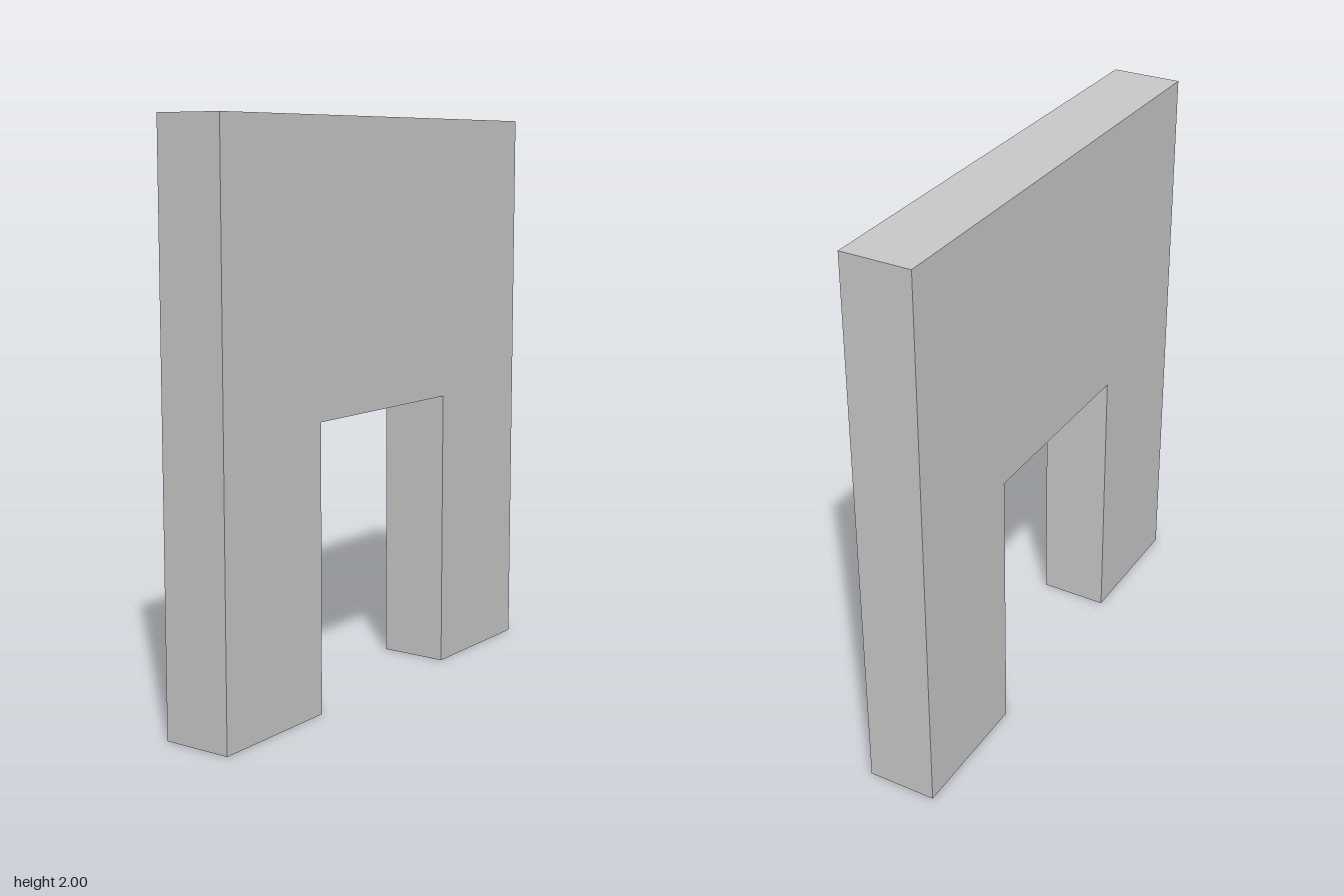
import * as THREE from 'three';

const WIDTH = 1.75, HEIGHT = 2, DEPTH = 0.25;
const DOOR_WIDTH = 0.75, DOOR_HEIGHT = 1;

export function createModel() {
  const group = new THREE.Group();
  group.name = 'doorwayWall';

  // Wall outline with the doorway cut up from the floor
  const w = WIDTH / 2, d = DOOR_WIDTH / 2;
  const outline = new THREE.Shape([
    [-w, 0], [-d, 0], [-d, DOOR_HEIGHT], [d, DOOR_HEIGHT],
    [d, 0], [w, 0], [w, HEIGHT], [-w, HEIGHT],
  ].map(([x, y]) => new THREE.Vector2(x, y)));

  // Extrude through the thickness, centred on z = 0
  const geometry = new THREE.ExtrudeGeometry(outline, { depth: DEPTH, bevelEnabled: false });
  geometry.translate(0, 0, -DEPTH / 2);

  const wall = new THREE.Mesh(
    geometry,
    new THREE.MeshStandardMaterial({ color: 0xcccccc, flatShading: true })
  );
  wall.name = 'wall';
  group.add(wall);
  return group;
}
